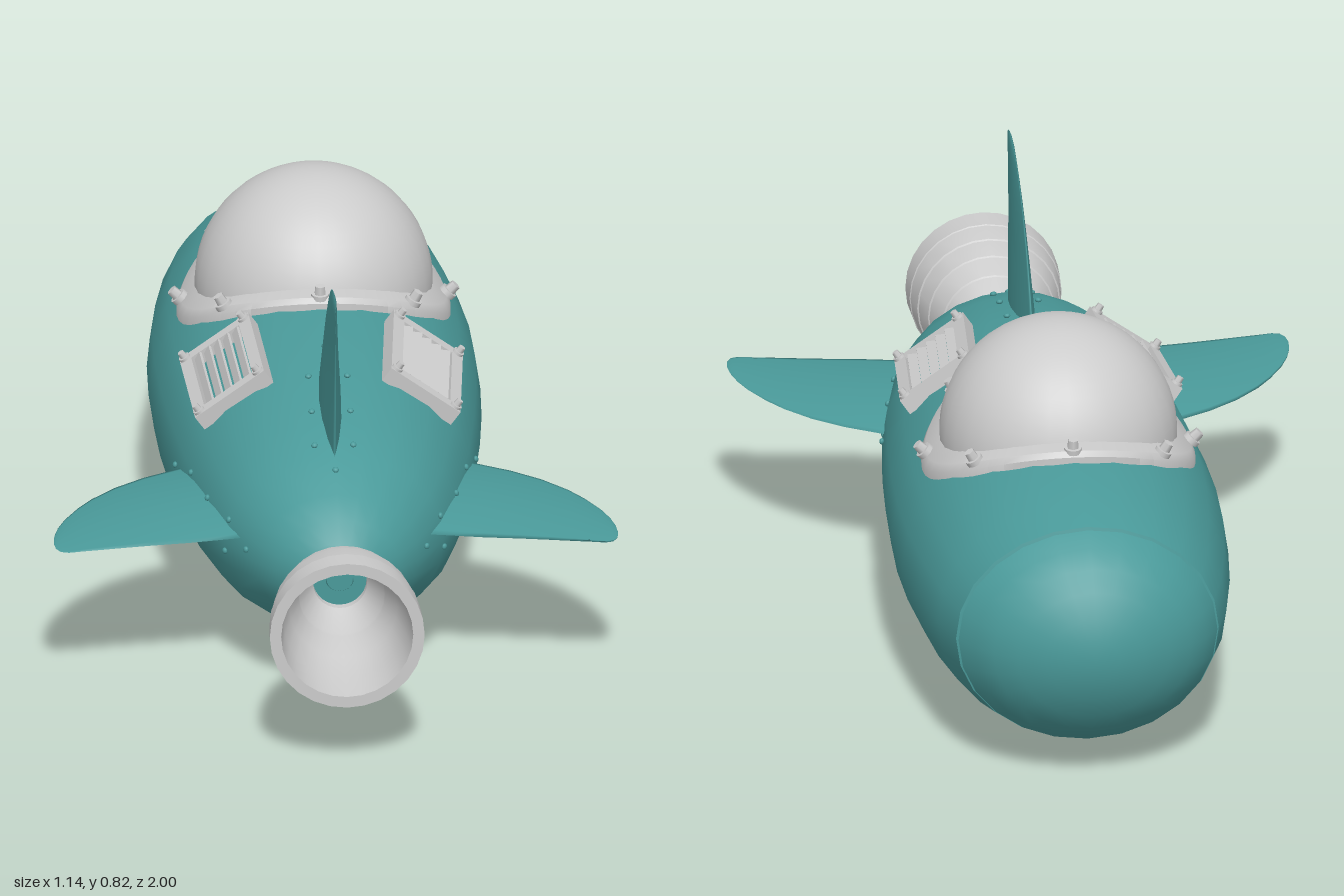
import * as THREE from 'three';
import { toCreasedNormals } from 'three/addons/utils/BufferGeometryUtils.js';

const teal = new THREE.MeshStandardMaterial({ color: 0x4a9a9a });
const grey = new THREE.MeshStandardMaterial({ color: 0xcccccc });
const CY = 0.295, SQUASH = 0.865;

// hull outline: [radius, z] from nose to tail
const HULL = [
  [0, -1], [0.05, -0.996], [0.1, -0.983], [0.155, -0.958], [0.2, -0.928], [0.235, -0.892], [0.262, -0.85],
  [0.254, -0.847], [0.254, -0.843], [0.266, -0.84], [0.292, -0.75], [0.316, -0.6], [0.33, -0.45],
  [0.334, -0.3], [0.329, -0.15], [0.318, 0], [0.296, 0.2], [0.255, 0.4], [0.22, 0.5], [0.165, 0.6],
  [0.125, 0.65], [0.082, 0.683], [0.076, 0.686], [0.076, 0.702], [0.028, 0.702], [0.026, 0.706], [0, 0.706],
];

function hullRadius(z) {
  const i = Math.max(1, HULL.findIndex(p => p[1] >= z));
  const [r0, z0] = HULL[i - 1], [r1, z1] = HULL[i];
  return r0 + (r1 - r0) * (z - z0) / (z1 - z0);
}

// point on the hull; a is the angle from the top, positive towards +x
function hullPoint(z, a) {
  const r = hullRadius(z);
  return new THREE.Vector3(r * Math.sin(a), CY + SQUASH * r * Math.cos(a), z);
}

const angleAt = (x, z) => Math.asin(x / hullRadius(z));

// seat an object on the hull with its y axis along the surface normal
function seat(obj, z, a, lift = 0) {
  const along = hullPoint(z + 0.08, a).sub(hullPoint(z - 0.08, a)).normalize();
  const across = hullPoint(z, a + 0.05).sub(hullPoint(z, a - 0.05)).normalize();
  const n = along.clone().cross(across).normalize();
  const x = n.clone().cross(along).normalize();
  obj.quaternion.setFromRotationMatrix(new THREE.Matrix4().makeBasis(x, n, along));
  obj.position.copy(hullPoint(z, a)).addScaledVector(n, lift);
  return obj;
}

function mesh(name, geometry, material) {
  const m = new THREE.Mesh(geometry, material);
  m.name = name;
  return m;
}

// turned part lying along z
function turned(points, segments) {
  const g = new THREE.LatheGeometry(points.map(p => new THREE.Vector2(...p)), segments);
  return g.rotateX(Math.PI / 2);
}

// skin a list of closed sections
function loft(sections, closed) {
  const n = sections[0].length, m = sections.length, index = [];
  for (let i = 0; i < (closed ? m : m - 1); i++) {
    for (let j = 0; j < n; j++) {
      const a = i * n + j, b = i * n + (j + 1) % n;
      const c = ((i + 1) % m) * n + j, d = ((i + 1) % m) * n + (j + 1) % n;
      index.push(a, c, d, a, d, b);
    }
  }
  const g = new THREE.BufferGeometry();
  g.setAttribute('position', new THREE.Float32BufferAttribute(sections.flat(2), 3));
  g.setIndex(index);
  g.computeVertexNormals();
  return g;
}

// fin stations: [span, leading z, trailing z, half thickness]
function finGeometry() {
  const stations = [
    [0.12, 0.09, 0.53, 0.028], [0.2, 0.125, 0.546, 0.025], [0.297, 0.17, 0.565, 0.021], [0.37, 0.215, 0.575, 0.016],
    [0.43, 0.265, 0.585, 0.012], [0.48, 0.323, 0.594, 0.009], [0.51, 0.37, 0.599, 0.007],
    [0.54, 0.43, 0.605, 0.005], [0.556, 0.475, 0.6, 0.004], [0.565, 0.515, 0.583, 0.002], [0.568, 0.55, 0.56, 0],
  ];
  return loft(stations.map(([s, lead, trail, half]) => Array.from({ length: 16 }, (_, k) => {
    const t = k / 16 * Math.PI * 2, sn = Math.sin(t);
    return [s, half * sn * Math.abs(sn), (lead + trail) / 2 + (trail - lead) / 2 * Math.cos(t)];
  })), false);
}

// bolt with a washer and a domed head
function bolt(size) {
  const g = new THREE.Group();
  g.name = 'bolt';
  const washer = mesh('boltWasher', new THREE.CylinderGeometry(size, size, size * 0.6, 12), grey);
  const head = mesh('boltHead', new THREE.CylinderGeometry(size * 0.6, size * 0.7, size * 1.1, 6), grey);
  head.position.y = size * 0.7;
  g.add(washer, head);
  return g;
}

// louvred vent: frame, slats and corner bolts
function vent() {
  const g = new THREE.Group();
  g.name = 'vent';
  const w = 0.085, l = 0.133, b = 0.026;
  const rect = (P, x, y) => new P([[-x, -y], [x, -y], [x, y], [-x, y]].map(p => new THREE.Vector2(...p)));
  const shape = rect(THREE.Shape, w, l);
  shape.holes.push(rect(THREE.Path, w - b, l - b));
  const frame = new THREE.ExtrudeGeometry(shape, { depth: 0.034, bevelEnabled: false });
  g.add(mesh('ventFrame', frame.rotateX(-Math.PI / 2).translate(0, -0.016, 0), grey));
  for (let i = -2; i <= 2; i++) {
    const slat = mesh('ventSlat', new THREE.BoxGeometry(0.02, 0.006, 2 * (l - b)), grey);
    slat.position.set(i * 0.023, 0.012, 0);
    slat.rotation.z = 0.5;
    g.add(slat);
  }
  for (const sx of [-1, 1]) for (const sz of [-1, 1]) {
    const c = bolt(0.012);
    c.position.set(sx * (w - b / 2), 0.02, sz * (l - b / 2));
    g.add(c);
  }
  return g;
}

export function createModel() {
  const model = new THREE.Group();
  model.name = 'rocketShip';

  // hull with a nose seam and tail collar
  const hull = turned(HULL, 24).scale(1, SQUASH, 1).translate(0, CY, 0);
  model.add(mesh('hull', toCreasedNormals(hull, 0.6), teal));

  // hollow engine bell with stepped rings
  const bell = turned([
    [0.054, 0.7], [0.06, 0.7], [0.08, 0.735], [0.104, 0.785], [0.107, 0.787], [0.126, 0.835], [0.129, 0.837],
    [0.142, 0.885], [0.145, 0.887], [0.152, 0.94], [0.154, 0.942], [0.156, 1], [0.133, 1],
    [0.124, 0.92], [0.108, 0.85], [0.087, 0.79], [0.086, 0.78], [0.054, 0.72], [0.054, 0.7],
  ], 28);
  model.add(mesh('engineBell', toCreasedNormals(bell.translate(0, CY, 0), 0.45), grey));

  // canopy dome
  const CZ = -0.33;
  const dome = mesh('canopyDome', new THREE.SphereGeometry(0.24, 32, 20, 0, Math.PI * 2, 0, Math.PI * 0.65), grey);
  dome.position.set(0, 0.525, CZ);
  model.add(dome);

  // canopy flange draped over the hull
  const profile = [[0.228, 0.022], [0.268, 0.022], [0.276, 0.012], [0.276, -0.015], [0.228, -0.02]];
  const flange = loft(Array.from({ length: 48 }, (_, i) => {
    const t = i / 48 * Math.PI * 2;
    return profile.map(([r, lift]) => {
      const x = r * Math.cos(t), z = CZ + r * Math.sin(t);
      return [x, hullPoint(z, angleAt(x, z)).y + lift, z];
    });
  }), true);
  model.add(mesh('canopyFlange', toCreasedNormals(flange, 0.6), grey));
  for (let i = 0; i < 8; i++) {
    const t = i / 8 * Math.PI * 2, x = 0.256 * Math.cos(t), z = CZ + 0.256 * Math.sin(t);
    model.add(seat(bolt(0.018), z, angleAt(x, z), 0.02));
  }

  // vents either side of the spine
  for (const s of [-1, 1]) model.add(seat(vent(), 0.095, s * 0.685, 0.004));

  // side fins and the dorsal fin
  const finGeo = finGeometry();
  for (const [name, turn, y, z] of [
    ['leftFin', 0, 0.325, 0], ['rightFin', Math.PI, 0.325, 0], ['dorsalFin', Math.PI / 2, 0.257, -0.045],
  ]) {
    const fin = mesh(name, finGeo, teal);
    fin.rotation.z = turn;
    fin.position.set(0, y, z);
    model.add(fin);
  }

  // rivets around each fin root
  const rivetGeo = new THREE.SphereGeometry(0.007, 8, 6).scale(1, 0.7, 1);
  for (const a of [0, 1.47, -1.47]) {
    const shift = a === 0 ? -0.03 : 0;
    const spots = [[0.14, 0], [0.57, 0]];
    for (const z of [0.26, 0.39, 0.5]) spots.push([z, 0.039], [z, -0.039]);
    for (const [z, off] of spots) {
      const rz = z + shift;
      model.add(seat(mesh('finRivet', rivetGeo, teal), rz, a + off / hullRadius(rz), 0.002));
    }
  }
  return model;
}
